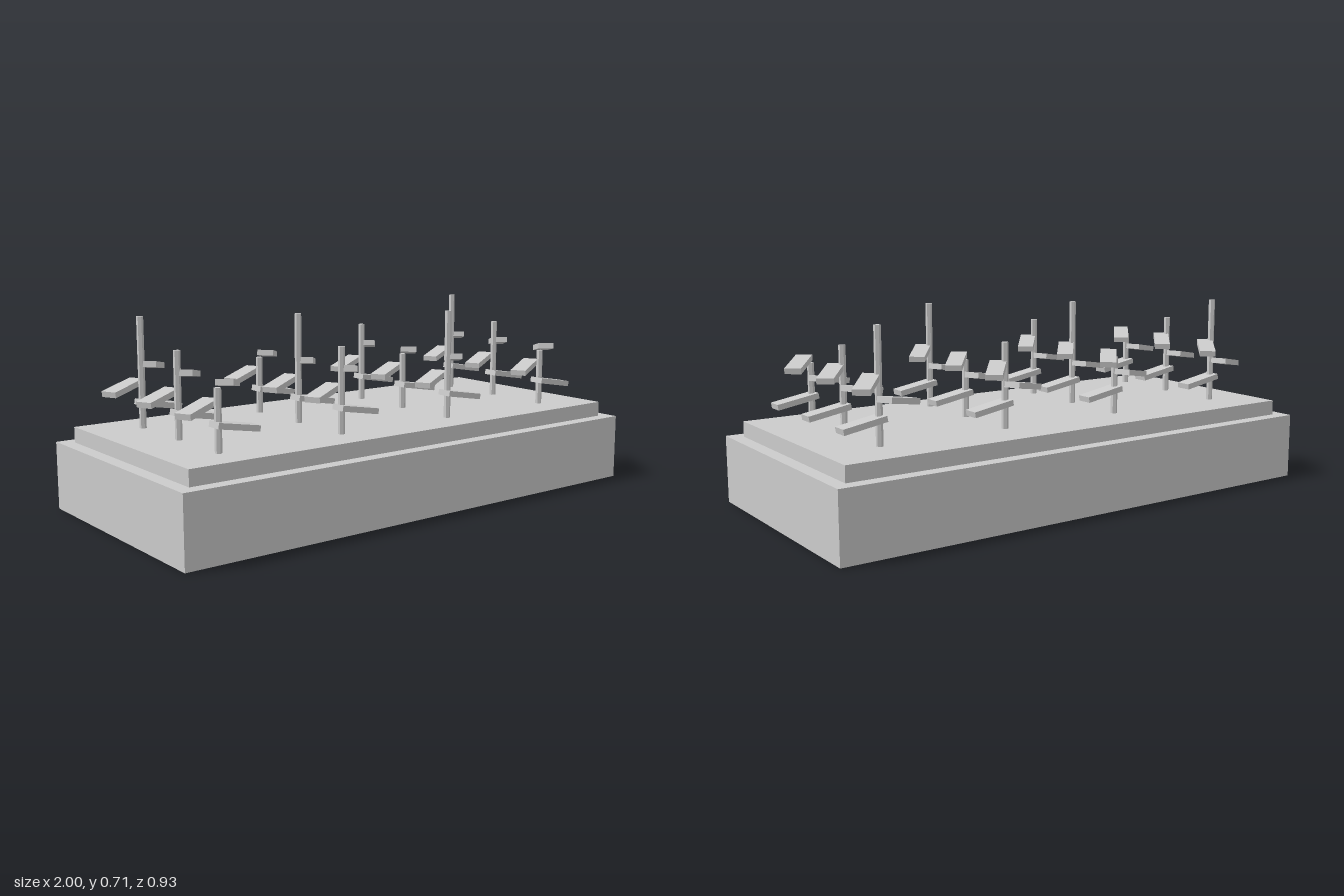
import * as THREE from 'three';

const grey = new THREE.MeshStandardMaterial({ color: 0xcccccc, flatShading: true });

function addMesh(parent, name, geometry, x, y, z) {
  const mesh = new THREE.Mesh(geometry, grey);
  mesh.name = name;
  mesh.position.set(x, y, z);
  parent.add(mesh);
  return mesh;
}

const SOIL_TOP = 0.307;
const leafGeometry = new THREE.BoxGeometry(0.162, 0.021, 0.06);

// One seedling: hexagonal stem with three drooping leaves
function createPlant(height) {
  const plant = new THREE.Group();
  plant.name = 'plant';
  const stem = new THREE.CylinderGeometry(0.0125, 0.0125, height, 6);
  addMesh(plant, 'stem', stem, 0, height / 2, 0);
  for (let k = 0; k < 3; k++) {
    const side = k % 2 ? -1 : 1;
    const leaf = addMesh(plant, 'leaf', leafGeometry, side * 0.064, 0.082 + k * 0.069, -0.02 * k);
    leaf.rotation.set(0, -2.7 * k, -0.17);
  }
  return plant;
}

export function createModel() {
  const model = new THREE.Group();
  model.name = 'planter';

  // Planter box and the soil bed on top
  addMesh(model, 'planterBox', new THREE.BoxGeometry(2, 0.25, 0.925), 0, 0.125, 0);
  addMesh(model, 'soilBed', new THREE.BoxGeometry(1.9, SOIL_TOP - 0.25, 0.825), 0, (SOIL_TOP + 0.25) / 2, 0);

  // Four by three grid of plants in three repeating heights
  const heights = [0.215, 0.309, 0.403];
  for (let i = 0; i < 4; i++) {
    for (let j = 0; j < 3; j++) {
      const plant = createPlant(heights[(i + j) % 3]);
      plant.position.set(-0.762 + i * 0.5, SOIL_TOP, 0.278 - j * 0.26);
      model.add(plant);
    }
  }
  return model;
}
